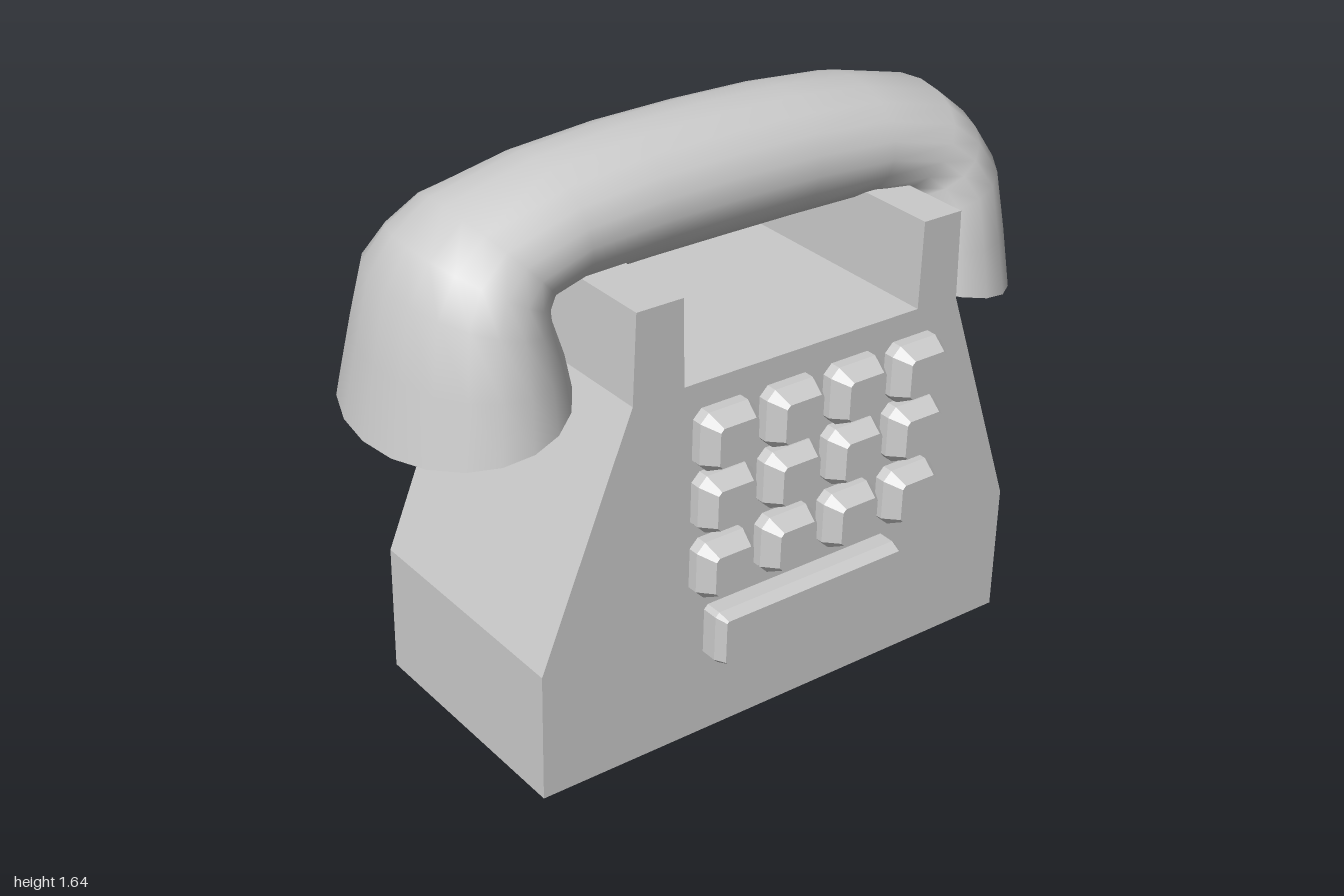
import * as THREE from 'three';

const TILT = -0.036; // slight sideways lean
const YAW = 0.02;
const flat = new THREE.MeshStandardMaterial({ color: 0xcccccc, flatShading: true });
const smooth = new THREE.MeshStandardMaterial({ color: 0xcccccc });

function shapeOf(points) {
  return new THREE.Shape(points.map(([x, y]) => new THREE.Vector2(x, y)));
}

function addMesh(parent, name, geometry, material) {
  const mesh = new THREE.Mesh(geometry, material);
  mesh.name = name;
  parent.add(mesh);
  return mesh;
}

// Button with cut corners and a chamfered front, centred on x and y
function buttonGeometry(w, h, cut, bevel, bevelDepth, back, front) {
  const x = w / 2, y = h / 2;
  const shape = shapeOf([
    [-x + cut, -y], [x - cut, -y], [x, -y + cut], [x, y - cut],
    [x - cut, y], [-x + cut, y], [-x, y - cut], [-x, -y + cut],
  ]);
  const geo = new THREE.ExtrudeGeometry(shape, {
    depth: front - back - 2 * bevelDepth, bevelEnabled: true, bevelSegments: 1,
    bevelSize: bevel, bevelOffset: -bevel, bevelThickness: bevelDepth,
  });
  return geo.translate(0, 0, back + bevelDepth);
}

// Handset: oval rings swept from one cup over the grip to the other
const SIDES = 20;
// [outer x, outer y, inner x, inner y, half width in z], from rim to middle
const RINGS = [
  [0.995, 0.975, 0.48, 1.09, 0.36],
  [0.96, 1.17, 0.50, 1.17, 0.335],
  [0.925, 1.36, 0.53, 1.25, 0.30],
  [0.86, 1.46, 0.53, 1.275, 0.265],
  [0.76, 1.54, 0.52, 1.285, 0.24],
  [0.50, 1.605, 0.46, 1.288, 0.218],
  [0.25, 1.63, 0.22, 1.288, 0.213],
  [0, 1.635, 0, 1.288, 0.213],
];

function ringPoints([ox, oy, ix, iy, w]) {
  const pts = [];
  for (let j = 0; j < SIDES; j++) {
    const a = (j / SIDES) * Math.PI * 2;
    const c = Math.cos(a) / 2;
    pts.push((ox + ix) / 2 + (ox - ix) * c, (oy + iy) / 2 + (oy - iy) * c, w * Math.sin(a));
  }
  return pts;
}

function toGeometry(positions, index) {
  const geo = new THREE.BufferGeometry();
  geo.setAttribute('position', new THREE.Float32BufferAttribute(positions, 3));
  geo.setIndex(index);
  geo.computeVertexNormals();
  return geo;
}

function gripGeometry() {
  const left = RINGS.map(([ox, oy, ix, iy, w]) => [-ox, oy, -ix, iy, w]);
  const rings = [...left, ...RINGS.slice(0, -1).reverse()];
  const index = [];
  for (let i = 0; i < rings.length - 1; i++) {
    for (let j = 0; j < SIDES; j++) {
      const k = (j + 1) % SIDES;
      const a = i * SIDES + j, b = i * SIDES + k;
      index.push(a, b, a + SIDES, b, b + SIDES, a + SIDES);
    }
  }
  return toGeometry(rings.flatMap(ringPoints), index);
}

// Slightly domed underside of a cup
function capGeometry(side) {
  const [ox, oy, ix, iy, w] = RINGS[0];
  const rim = [side * ox, oy, side * ix, iy, w];
  const cx = (ox + ix) / 2, cy = (oy + iy) / 2;
  const positions = [...ringPoints(rim), side * (cx - 0.005), cy - 0.025, 0];
  const index = [];
  for (let j = 0; j < SIDES; j++) {
    const k = (j + 1) % SIDES;
    if (side > 0) index.push(SIDES, j, k);
    else index.push(SIDES, k, j);
  }
  return toGeometry(positions, index);
}

export function createModel() {
  const model = new THREE.Group();
  model.name = 'telephone';

  const base = new THREE.Group();
  base.name = 'base';
  base.rotation.y = YAW;
  model.add(base);

  // Body with the two cradle prongs
  const outline = shapeOf([
    [-0.79, 0.065], [0.78, 0], [0.79, 0.38], [0.567, 1.07], [0.567, 1.323], [0.44, 1.328],
    [0.43, 1.08], [-0.335, 1.11], [-0.335, 1.355], [-0.475, 1.36], [-0.49, 1.11], [-0.78, 0.44],
  ]);
  const bodyGeo = new THREE.ExtrudeGeometry(outline, { depth: 0.722, bevelEnabled: false });
  addMesh(base, 'body', bodyGeo.translate(0, 0, -0.372), flat);

  // Keypad
  const keyGeo = buttonGeometry(0.172, 0.165, 0.025, 0.026, 0.05, 0.25, 0.43);
  const rowDrop = [0, 0.18, 0.375];
  for (let r = 0; r < 3; r++) {
    for (let c = 0; c < 4; c++) {
      const key = addMesh(base, 'key', keyGeo, flat);
      key.position.set(-0.225 + 0.21 * c - 0.006 * r, 0.95 - 0.0085 * c - rowDrop[r], 0);
      key.rotation.z = TILT;
    }
  }

  // Long bar below the keys
  const bar = addMesh(base, 'bar', buttonGeometry(0.62, 0.155, 0.012, 0.012, 0.035, 0.25, 0.433), flat);
  bar.position.set(0.033, 0.353, 0);
  bar.rotation.z = TILT;

  // Handset, leaning about a point near its middle
  const handset = new THREE.Group();
  handset.name = 'handset';
  handset.position.set(0, 1.2, -0.052);
  handset.rotation.set(0.03, YAW, TILT);
  model.add(handset);
  addMesh(handset, 'grip', gripGeometry().translate(0, -1.2, 0), smooth);
  addMesh(handset, 'leftCupFace', capGeometry(1).translate(0, -1.2, 0), smooth);
  addMesh(handset, 'rightCupFace', capGeometry(-1).translate(0, -1.2, 0), smooth);

  return model;
}
